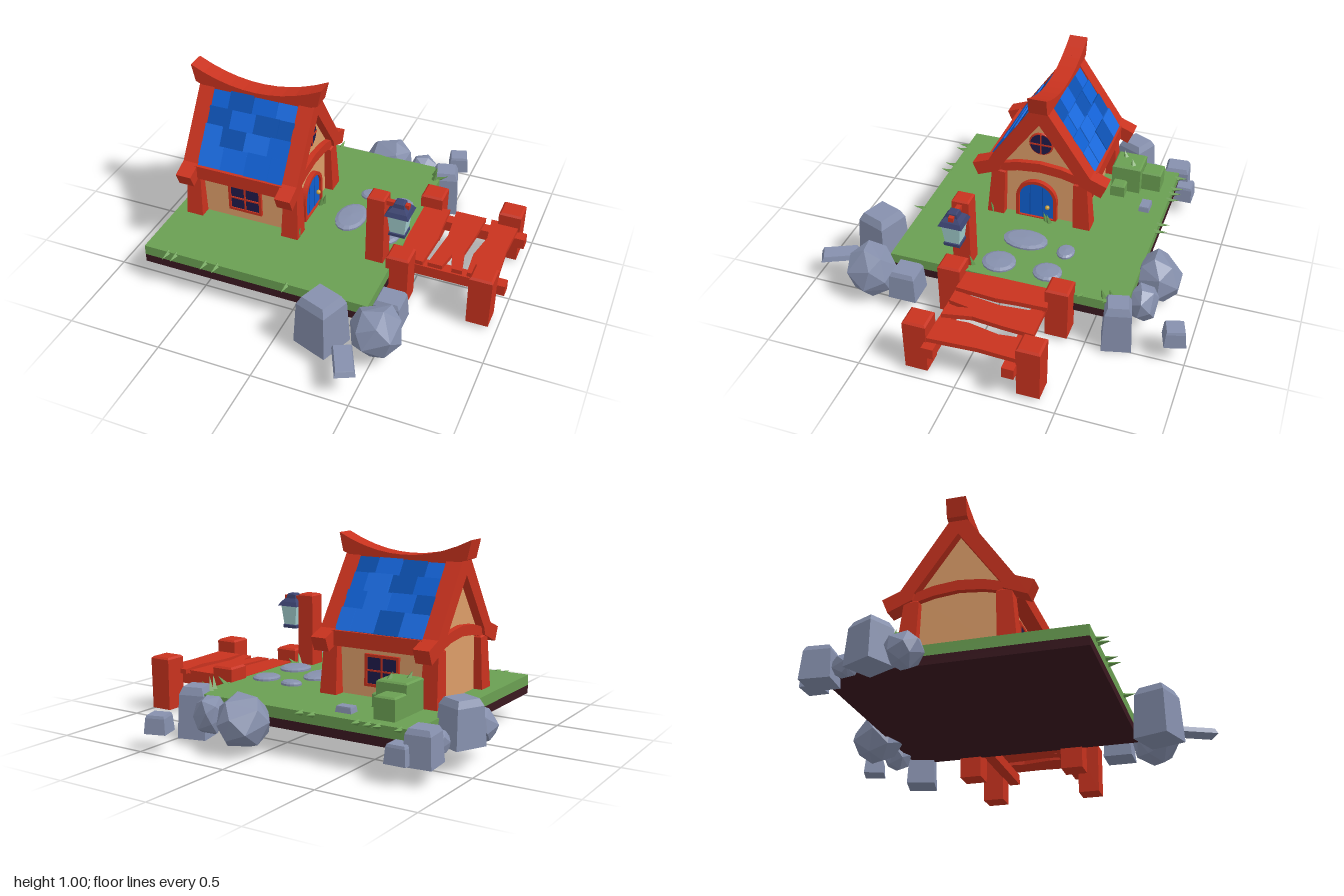
import * as THREE from 'three';
import { ConvexGeometry } from 'three/addons/geometries/ConvexGeometry.js';

const mat = (color, extra = {}) => new THREE.MeshStandardMaterial({ color, flatShading: true, ...extra });
const RED = mat(0xc8321e), ORANGE = mat(0xdc9d68), NAVY = mat(0x1f1a4a), GREEN = mat(0x6a9f52);
const SOIL = mat(0x3a1820), ROCK = mat(0x8690ad), GLASS = mat(0xa4cfd0), STEEL = mat(0x3a4270);
const GOLD = mat(0xc9a040), DOOR = mat(0x0f5fd0);
const BLUES = [mat(0x0f5fd0), mat(0x1a6ade), mat(0x0c50b0), mat(0x1463d8)];
const ZC = -0.055; // ridge line of the house

export function createModel() {
  const model = new THREE.Group();
  let seed = 7;
  const rnd = () => (seed = (seed * 16807) % 2147483647) / 2147483647;

  const add = (parent, name, geo, material, x = 0, y = 0, z = 0) => {
    const m = new THREE.Mesh(geo, material);
    m.name = name;
    m.position.set(x, y, z);
    parent.add(m);
    return m;
  };
  const group = (name) => {
    const g = new THREE.Group();
    g.name = name;
    model.add(g);
    return g;
  };
  // box given by its limits
  const box = (p, name, m, x0, x1, y0, y1, z0, z1) =>
    add(p, name, new THREE.BoxGeometry(x1 - x0, y1 - y0, z1 - z0), m, (x0 + x1) / 2, (y0 + y1) / 2, (z0 + z1) / 2);
  const polygon = (pts) => new THREE.Shape(pts.map(([x, y]) => new THREE.Vector2(x, y)));
  // profile in the z-y plane, centred on ZC and extruded from x0 to x1
  const slice = (p, name, m, shape, x0, x1, z = ZC) => {
    const geo = new THREE.ExtrudeGeometry(shape, { depth: x1 - x0, bevelEnabled: false, curveSegments: 12 });
    geo.rotateY(-Math.PI / 2);
    return add(p, name, geo, m, x1, 0, z);
  };
  // closed profile mirrored about u = 0, given from the top centre to the lower centre
  const mirrored = (half) => polygon([...half, ...half.filter(([u]) => u > 0).reverse().map(([u, y]) => [-u, y])]);
  // four-sided post with different top and bottom widths and a chamfered top
  const post = (p, name, m, x, z, y0, y1, w0, w1, bevel = 0.012) => {
    const s = Math.SQRT1_2;
    const pts = [[0, y0], [w0 * s, y0], [w1 * s, y1 - bevel], [(w1 - 2 * bevel) * s, y1], [0, y1]];
    const geo = new THREE.LatheGeometry(pts.map(([a, b]) => new THREE.Vector2(a, b)), 4);
    return add(p, name, geo.rotateY(Math.PI / 4), m, x, 0, z);
  };

  // ground
  const ground = group('ground');
  box(ground, 'grass', GREEN, -0.8, 0.43, 0.175, 0.23, -0.68, 0.575);
  box(ground, 'soil', SOIL, -0.8, 0.43, 0.13, 0.175, -0.68, 0.575);

  // house body and timber frame
  const house = group('house');
  slice(house, 'walls', ORANGE, mirrored([[0, 0.87], [0.225, 0.54], [0.225, 0.22]]), -0.69, -0.135);
  for (const x of [-0.69, -0.135]) {
    for (const s of [-1, 1]) {
      const c = post(house, 'cornerPost', RED, x, ZC + s * 0.24, 0.22, 0.51, 0.095, 0.075);
      c.rotation.x = -s * 0.06;
      c.position.z += s * 0.015;
    }
  }
  const rafter = mirrored([[0, 0.95], [0.05, 0.895], [0.28, 0.56], [0.37, 0.525], [0.34, 0.455], [0.22, 0.505], [0.21, 0.54], [0, 0.83]]);
  // split the gable frame into two halves so the inner triangle stays open
  slice(house, 'backGableRafters', RED, rafter, -0.735, -0.65);
  slice(house, 'frontGableRafters', RED, rafter, -0.175, -0.09);
  const arch = mirrored([[0, 0.585], [0.12, 0.573], [0.24, 0.54], [0.24, 0.49], [0.12, 0.52], [0, 0.532]]);
  slice(house, 'backTieBeam', RED, arch, -0.72, -0.65);
  slice(house, 'frontTieBeam', RED, arch, -0.175, -0.105);
  for (const s of [-1, 1]) {
    const z = ZC + s * 0.26;
    box(house, 'eaveBeam', RED, -0.66, -0.165, 0.48, 0.555, z - 0.04, z + 0.04);
  }

  // sagging ridge beam
  const ridge = new THREE.BoxGeometry(0.73, 0.09, 0.1, 10, 1, 1);
  const rp = ridge.attributes.position;
  for (let i = 0; i < rp.count; i++) {
    const t = rp.getX(i) / 0.365, top = rp.getY(i) > 0;
    rp.setXYZ(i, rp.getX(i) * (top ? 1 : 0.94), rp.getY(i) * (0.8 + 0.25 * t * t) + 0.875 + 0.08 * t * t, rp.getZ(i));
  }
  add(house, 'ridgeBeam', ridge, RED, -0.415, 0, ZC);

  // roof shingles, four by four on each slope
  for (const s of [-1, 1]) {
    const slope = new THREE.Group();
    slope.name = 'roofSlope';
    slope.position.set(0, 0.875, ZC + s * 0.035);
    slope.rotation.x = s * Math.atan2(0.325, 0.24);
    house.add(slope);
    for (let r = 0; r < 4; r++) {
      for (let c = 0; c < 4; c++) {
        const off = (r % 2) * 0.03, x0 = Math.max(-0.655, -0.69 + c * 0.135 + off);
        const x1 = c === 3 ? -0.17 : -0.69 + (c + 1) * 0.135 + off;
        const len = 0.118 + rnd() * 0.012;
        const t = add(slope, 'shingle', new THREE.BoxGeometry(x1 - x0 - 0.003, 0.024, len), BLUES[Math.floor(rnd() * 4)],
          (x0 + x1) / 2, rnd() * 0.008, s * (0.05 + r * 0.098));
        t.rotation.x = s * 0.07;
      }
    }
  }

  // square windows on both long walls
  for (const s of [-1, 1]) {
    const w = new THREE.Group();
    w.name = 'sideWindow';
    w.position.set(-0.41, 0.365, ZC + s * 0.227);
    house.add(w);
    box(w, 'pane', NAVY, -0.09, 0.09, -0.075, 0.075, -0.008, 0.008);
    for (const k of [-1, 0, 1]) {
      const t = k ? 0.007 : 0.004;
      box(w, 'upright', RED, k * 0.088 - t, k * 0.088 + t, -0.08, 0.08, -0.014, 0.014);
      box(w, 'crossbar', RED, -0.095, 0.095, k * 0.073 - t, k * 0.073 + t, -0.014, 0.014);
    }
  }

  // round gable window
  const round = new THREE.Group();
  round.name = 'roundWindow';
  round.position.set(-0.135, 0.693, ZC);
  round.rotation.y = Math.PI / 2;
  house.add(round);
  add(round, 'pane', new THREE.CylinderGeometry(0.058, 0.058, 0.02, 20).rotateX(Math.PI / 2), NAVY);
  add(round, 'frame', new THREE.TorusGeometry(0.058, 0.009, 6, 20), RED);
  box(round, 'upright', RED, -0.004, 0.004, -0.058, 0.058, 0, 0.014);
  box(round, 'crossbar', RED, -0.058, 0.058, -0.004, 0.004, 0, 0.014);

  // arched door
  const archShape = (r, base, spring) => {
    const sh = new THREE.Shape();
    sh.moveTo(-r, base);
    sh.lineTo(r, base);
    sh.lineTo(r, spring);
    sh.absarc(0, spring, r, 0, Math.PI, false);
    return sh;
  };
  const frame = archShape(0.114, 0.225, 0.35);
  frame.holes.push(archShape(0.096, 0.235, 0.35));
  slice(house, 'doorFrame', RED, frame, -0.15, -0.108, -0.037);
  slice(house, 'door', DOOR, archShape(0.098, 0.23, 0.35), -0.15, -0.12, -0.037);
  for (const z of [-0.07, 0]) box(house, 'doorGroove', BLUES[2], -0.121, -0.118, 0.235, 0.43, z - 0.002, z + 0.002);
  add(house, 'doorKnob', new THREE.IcosahedronGeometry(0.013, 1), GOLD, -0.11, 0.31, -0.1);

  // dock
  const dock = group('dock');
  for (const x of [0.47, 0.9]) for (const z of [-0.355, 0.21]) post(dock, 'dockPost', RED, x, z, 0.02, 0.305, 0.115, 0.12, 0.01);
  for (const z of [-0.27, 0.13]) box(dock, 'rail', RED, 0.41, 1, 0.15, 0.208, z - 0.03, z + 0.03);
  const planks = [
    [[0.43, -0.3], [0.57, -0.32], [0.575, -0.18], [0.585, -0.06], [0.57, 0.155], [0.44, 0.15], [0.43, 0]],
    [[0.605, -0.32], [0.77, -0.32], [0.76, -0.15], [0.745, 0], [0.775, 0.15], [0.72, 0.15], [0.69, 0.04], [0.67, 0.15], [0.595, 0.15], [0.625, -0.1]],
    [[0.8, -0.32], [0.95, -0.32], [0.94, -0.1], [0.955, 0.155], [0.8, 0.15], [0.79, 0], [0.82, -0.16]],
  ];
  for (const pts of planks) {
    const geo = new THREE.ExtrudeGeometry(polygon(pts), { depth: 0.025, bevelEnabled: false });
    add(dock, 'plank', geo.rotateX(Math.PI / 2), RED, 0, 0.232, 0);
  }

  // lamp post and lantern
  const lamp = group('lampPost');
  post(lamp, 'post', RED, 0.338, 0.195, 0.22, 0.62, 0.095, 0.09, 0.008);
  box(lamp, 'arm', RED, 0.37, 0.5, 0.575, 0.6, 0.185, 0.21);
  const lx = 0.452, lz = 0.2;
  post(lamp, 'lanternRoof', STEEL, lx, lz, 0.545, 0.585, 0.125, 0.1, 0.018);
  post(lamp, 'lanternTop', STEEL, lx, lz, 0.58, 0.612, 0.06, 0.05, 0.006);
  post(lamp, 'lanternGlass', GLASS, lx, lz, 0.435, 0.55, 0.075, 0.1, 0.002);
  post(lamp, 'lanternBase', STEEL, lx, lz, 0.42, 0.44, 0.085, 0.085, 0.004);

  // stepping stones
  const stones = group('steppingStones');
  for (const [x, z, rx, rz] of [[0.1, -0.05, 0.08, 0.12], [0.13, -0.28, 0.057, 0.046], [0.315, -0.24, 0.07, 0.075], [0.315, 0.02, 0.082, 0.088]]) {
    const pts = [[1, 0], [1, 0.012], [0.8, 0.02], [0, 0.025]].map(([a, b]) => new THREE.Vector2(a, b));
    add(stones, 'steppingStone', new THREE.LatheGeometry(pts, 16), ROCK, x, 0.228, z).scale.set(rx, 1, rz);
  }

  // block-shaped rocks: x, z, y0, y1, width, depth, turn
  const rocks = group('rocks');
  for (const [x, z, y0, y1, w, d, turn] of [
    [-0.76, -0.725, 0.09, 0.18, 0.11, 0.1, 0], [-0.84, -0.66, 0.08, 0.25, 0.14, 0.15, 0.08], [-0.89, -0.4, 0.11, 0.33, 0.16, 0.17, -0.45],
    [0.44, -0.93, 0.09, 0.18, 0.11, 0.11, 0.3], [0.445, -0.645, 0, 0.26, 0.15, 0.15, 0.25], [0.245, 0.705, 0.06, 0.34, 0.2, 0.19, -0.35],
    [0.505, 0.455, 0.07, 0.225, 0.15, 0.15, 0], [0.425, 0.875, 0.135, 0.163, 0.1, 0.2, 0.45], [-0.39, -0.575, 0.22, 0.26, 0.09, 0.06, 0],
  ]) {
    const h = y1 - y0;
    const b = post(rocks, 'blockRock', ROCK, x, z, 0, h, 1, 0.88, 0.1 * Math.min(1, h * 5));
    // the bevel is in width units, so restore the height of the shoulder
    const p = b.geometry.attributes.position;
    for (let i = 0; i < p.count; i++) if (p.getY(i) > 0 && p.getY(i) < h - 1e-4) p.setY(i, h * 0.85);
    b.geometry.computeVertexNormals();
    b.scale.set(w, 1, d);
    b.position.y = y0;
    b.rotation.y = turn;
  }
  // faceted boulders: x, y, z and radii
  for (const [x, y, z, rx, ry, rz] of [
    [0.07, 0.16, -0.76, 0.13, 0.13, 0.125], [0.285, 0.15, -0.735, 0.085, 0.1, 0.075], [-0.85, 0.15, -0.535, 0.05, 0.06, 0.06],
    [-0.9, 0.165, -0.235, 0.085, 0.09, 0.09], [0.505, 0.17, 0.65, 0.125, 0.14, 0.13],
  ]) {
    const pts = [];
    for (let i = 0; i < 20; i++) {
      const v = 1 - (2 * i + 1) / 20, a = i * 2.4 + rnd() * 0.5, q = Math.sqrt(1 - v * v), k = 1 + rnd() * 0.1;
      pts.push(new THREE.Vector3(Math.cos(a) * q * rx * k, v * ry * k, Math.sin(a) * q * rz * k));
    }
    add(rocks, 'boulder', new ConvexGeometry(pts), ROCK, x, y, z);
  }

  // cubic bush and grass blades
  const plants = group('plants');
  for (const [x, z, w, y1] of [[-0.59, -0.43, 0.16, 0.385], [-0.615, -0.56, 0.11, 0.34], [-0.485, -0.4, 0.08, 0.3]]) post(plants, 'bush', GREEN, x, z, 0.225, y1, w, w, 0.008);
  const blade = (x, y, z, h, tiltX = 0, tiltZ = 0) => {
    const m = add(plants, 'grassBlade', new THREE.ConeGeometry(0.016, h, 4).translate(0, h / 2, 0), GREEN, x, y, z);
    m.rotation.set(tiltX, 0, tiltZ);
  };
  for (const x of [-0.665, -0.62, -0.45, -0.385, 0]) blade(x, 0.22, 0.565, 0.07, 1.5);
  for (const x of [-0.735, -0.625, -0.575, -0.515, -0.275, -0.21]) blade(x, 0.22, -0.67, 0.07, -1.4);
  for (const z of [-0.45, -0.58, 0.15]) blade(0.41, 0.22, z, 0.08, 0.2, -1);
  for (const [x, z] of [[-0.1, -0.1], [-0.09, -0.12], [-0.1, 0.2], [0.39, -0.6], [0.4, -0.56], [0.37, 0.14]]) blade(x, 0.225, z, 0.075, 0.15, -0.25);
  for (const [x, z] of [[-0.62, -0.4], [-0.55, -0.46]]) blade(x, 0.38, z, 0.04, 0.3, 0.3);
  return model;
}
